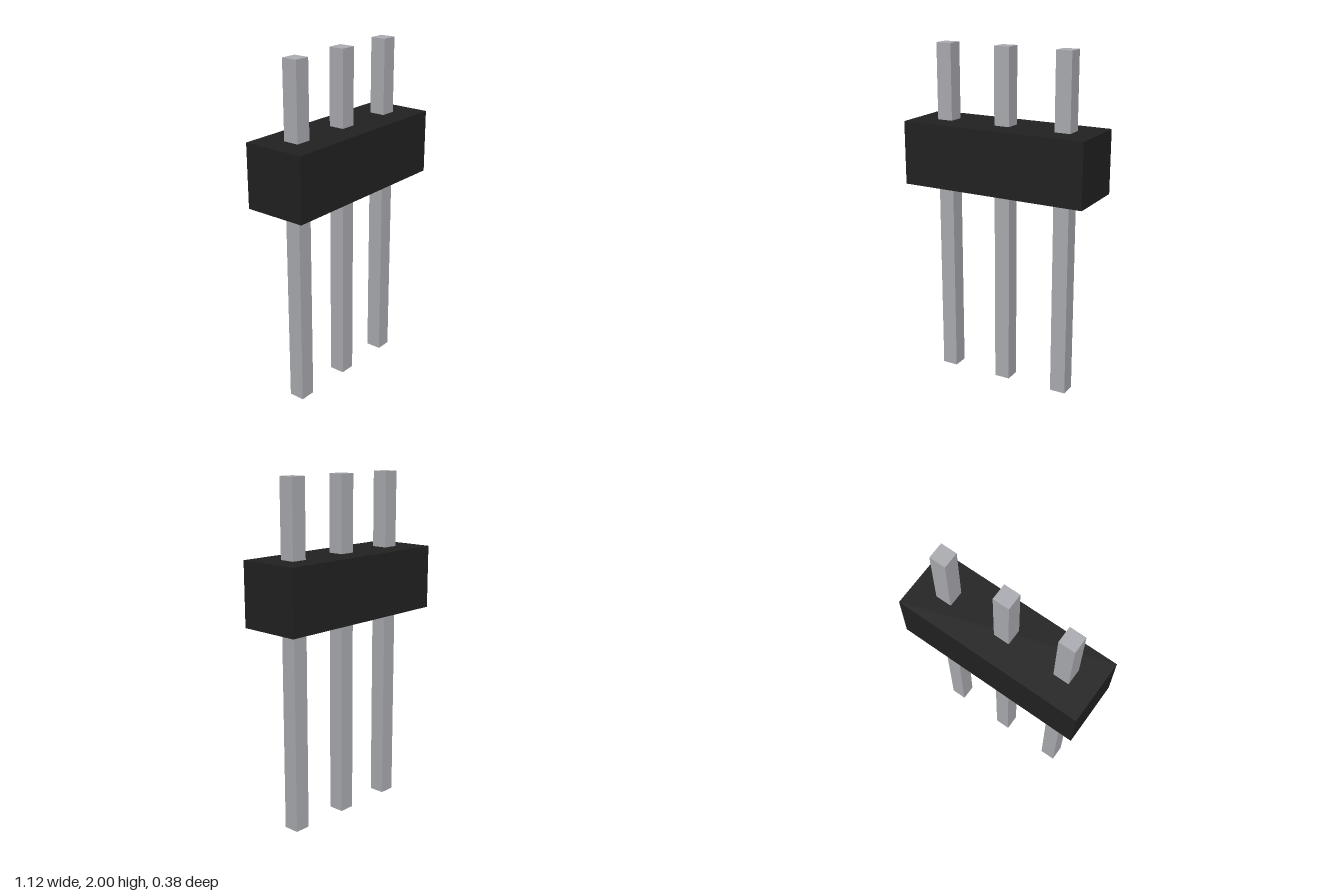
import * as THREE from 'three';

export function createModel() {
  const model = new THREE.Group();
  model.name = 'pinHeader';

  const blackPlastic = new THREE.MeshStandardMaterial({ color: 0x222222 });
  blackPlastic.name = 'black plastic';
  const greyMetal = new THREE.MeshStandardMaterial({ color: 0xaeafb4 });
  greyMetal.name = 'grey metal';

  const pitch = 0.375;
  const pinCount = 3;
  const pinWidth = 0.094;
  const pinHeight = 2;

  // Plastic housing: one square cell per pin
  const housing = new THREE.Mesh(
    new THREE.BoxGeometry(pitch * pinCount, 0.372, pitch), blackPlastic);
  housing.name = 'housing';
  housing.position.y = 1.373;
  model.add(housing);

  // Square pins running through the housing
  const pinGeometry = new THREE.BoxGeometry(pinWidth, pinHeight, pinWidth);
  for (let i = 0; i < pinCount; i++) {
    const pin = new THREE.Mesh(pinGeometry, greyMetal);
    pin.name = `pin${i + 1}`;
    pin.position.set((i - (pinCount - 1) / 2) * pitch, pinHeight / 2, 0);
    model.add(pin);
  }

  return model;
}
